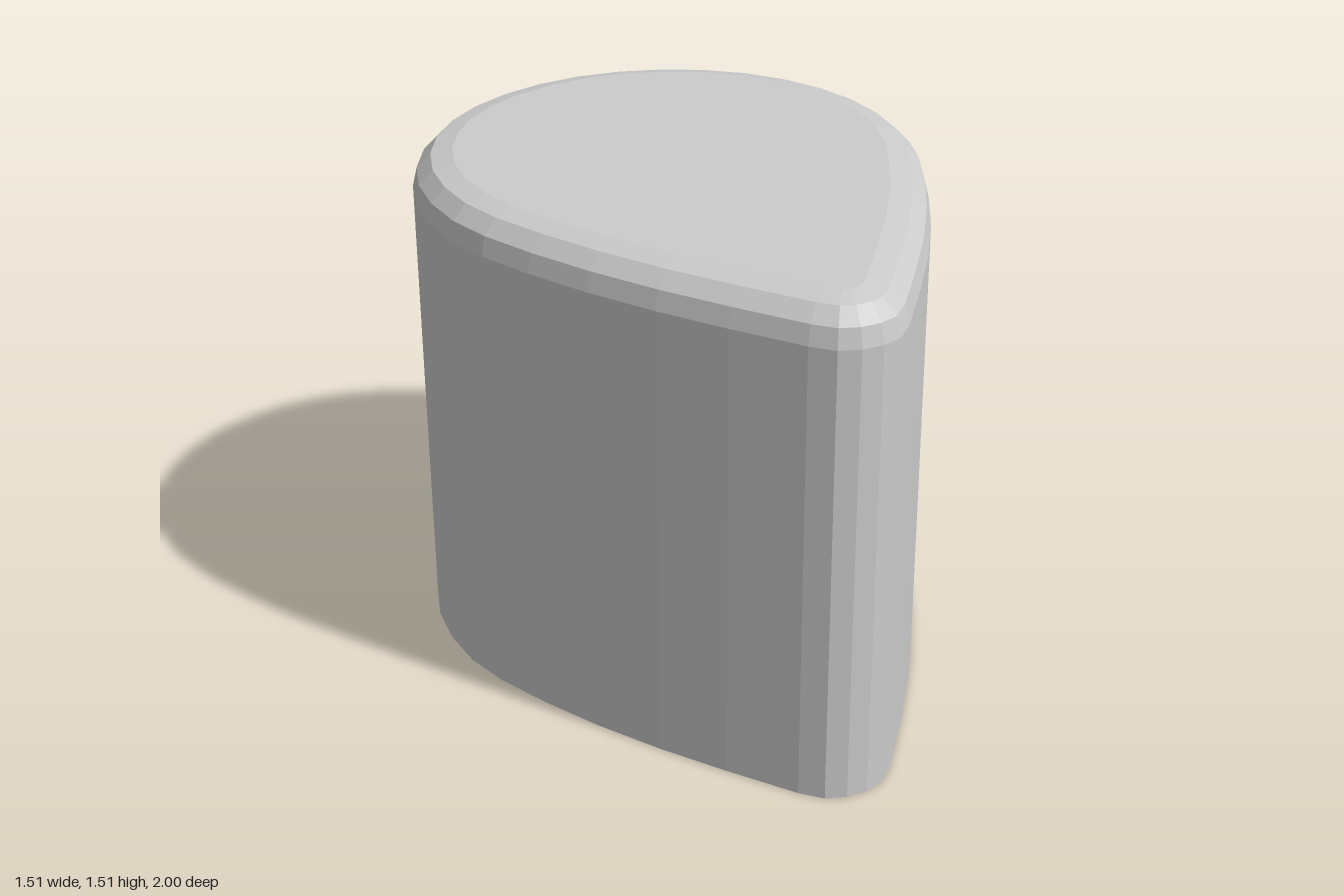
import * as THREE from 'three';

// Half of the teardrop outline (x, z), from the round back to the narrow front.
const HALF = [
  [0, -1], [0.147, -0.985], [0.288, -0.943], [0.42, -0.875], [0.535, -0.783],
  [0.63, -0.668], [0.7, -0.535], [0.742, -0.395], [0.755, -0.248], [0.742, -0.1],
  [0.7, 0.04], [0.627, 0.2], [0.53, 0.38], [0.412, 0.567], [0.285, 0.745],
  [0.148, 0.925], [0.092, 0.98], [0.032, 1],
];

// Rounded top rim: [inset from the outline, height].
const PROFILE = [[0, 0], [0, 1.4], [0.014, 1.457], [0.056, 1.5], [0.12, 1.515]];

// Outline moved inward by d along the mitred corner normals.
function insetOutline(points, d) {
  const n = points.length;
  const edgeNormal = (a, b) => new THREE.Vector2(b.y - a.y, a.x - b.x).normalize();
  return points.map((p, i) => {
    const n0 = edgeNormal(points[(i + n - 1) % n], p);
    const n1 = edgeNormal(p, points[(i + 1) % n]);
    const m = n0.clone().add(n1).normalize();
    return p.clone().addScaledVector(m, -d / m.dot(n1));
  });
}

function teardropGeometry() {
  const right = HALF.map(([x, z]) => new THREE.Vector2(x, z));
  const left = HALF.slice(1).reverse().map(([x, z]) => new THREE.Vector2(-x, z));
  const outline = [...right, ...left];
  const n = outline.length;
  const positions = [], index = [];

  for (const [inset, y] of PROFILE) {
    for (const p of insetOutline(outline, inset)) positions.push(p.x, y, p.y);
  }
  const topRing = (PROFILE.length - 1) * n;
  const bottomCentre = PROFILE.length * n, topCentre = bottomCentre + 1;
  positions.push(0, 0, 0, 0, PROFILE[PROFILE.length - 1][1], 0);

  for (let i = 0; i < n; i++) {
    const k = (i + 1) % n;
    // wall and rim
    for (let r = 0; r < topRing; r += n) {
      index.push(r + k, r + i, r + n + i, r + k, r + n + i, r + n + k);
    }
    // flat top and bottom
    index.push(topCentre, topRing + k, topRing + i, bottomCentre, i, k);
  }

  const indexed = new THREE.BufferGeometry();
  indexed.setAttribute('position', new THREE.Float32BufferAttribute(positions, 3));
  indexed.setIndex(index);
  const geometry = indexed.toNonIndexed();
  geometry.computeVertexNormals();
  return geometry;
}

export function createModel() {
  const group = new THREE.Group();
  group.name = 'teardropBlock';
  const material = new THREE.MeshStandardMaterial({ color: 0xcccccc, flatShading: true });
  const body = new THREE.Mesh(teardropGeometry(), material);
  body.name = 'body';
  group.add(body);
  return group;
}
